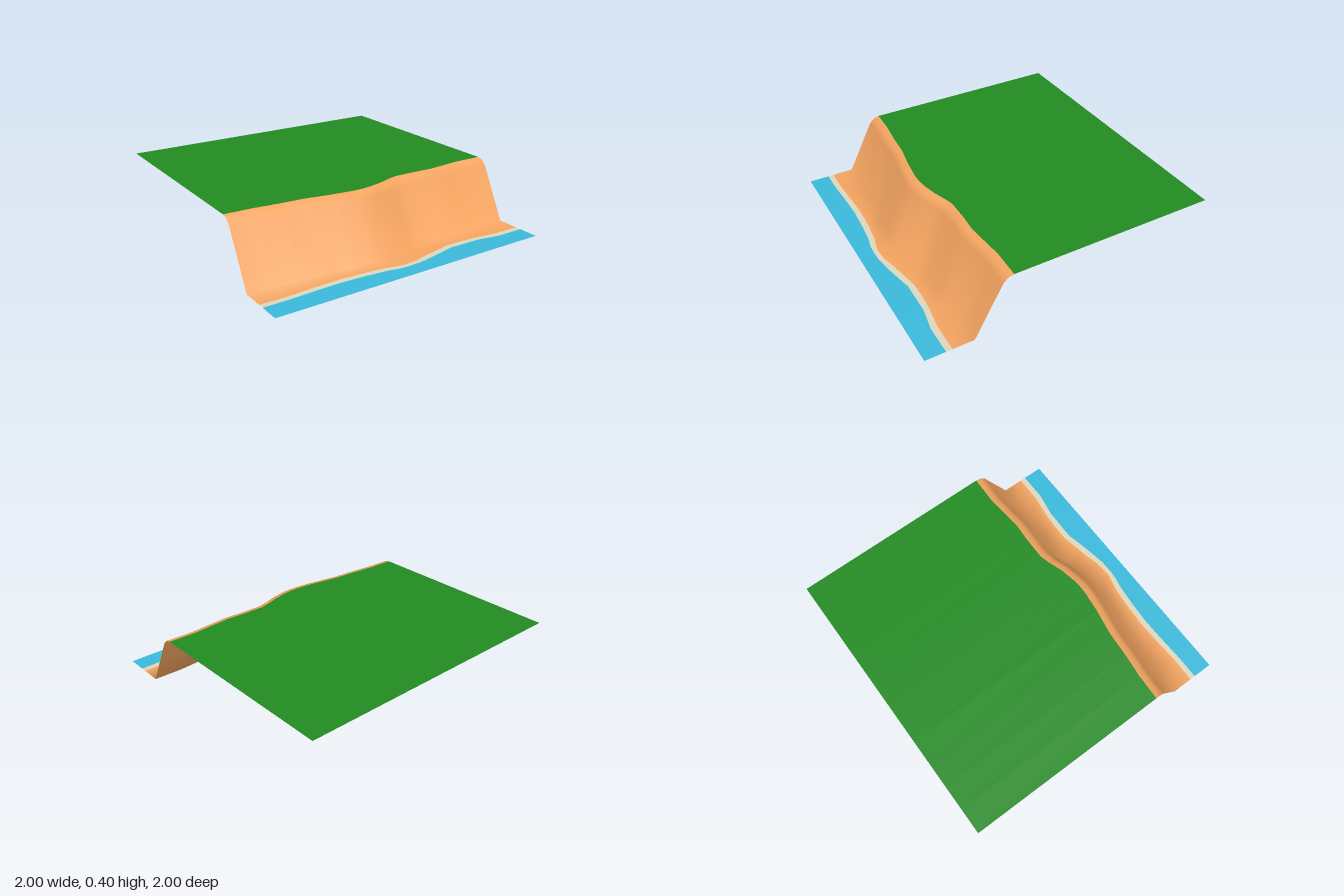
import * as THREE from 'three';

// Stations across the coast: x, cliff-top z, inner foam z, outer foam z
const STATIONS = [
  [-1, 0.415, 0.822, 0.862],
  [-0.82, 0.422, 0.825, 0.862],
  [-0.65, 0.441, 0.816, 0.854],
  [-0.48, 0.453, 0.81, 0.85],
  [-0.3, 0.485, 0.82, 0.86],
  [-0.15, 0.503, 0.835, 0.875],
  [-0.08, 0.504, 0.853, 0.89],
  [-0.02, 0.497, 0.865, 0.895],
  [0.08, 0.476, 0.858, 0.893],
  [0.18, 0.442, 0.833, 0.876],
  [0.25, 0.425, 0.82, 0.863],
  [0.4, 0.427, 0.79, 0.83],
  [0.53, 0.435, 0.79, 0.832],
  [0.63, 0.427, 0.797, 0.833],
  [0.8, 0.411, 0.82, 0.862],
  [1, 0.417, 0.822, 0.862],
];
const TOP = 0.4;

// Smooth sheet lofted through one cross-section [z, y] list per station, back to front
function sheet(name, color, section) {
  const positions = [], indices = [];
  let rows = 0;
  for (const [x, ...zs] of STATIONS) {
    const points = section(...zs);
    rows = points.length;
    for (const [z, y] of points) positions.push(x, y, z);
  }
  for (let i = 0; i < STATIONS.length - 1; i++) {
    for (let j = 0; j < rows - 1; j++) {
      const a = i * rows + j, b = a + rows;
      indices.push(a, a + 1, b + 1, a, b + 1, b);
    }
  }
  const geometry = new THREE.BufferGeometry();
  geometry.setAttribute('position', new THREE.Float32BufferAttribute(positions, 3));
  geometry.setIndex(indices);
  geometry.computeVertexNormals();
  const mesh = new THREE.Mesh(geometry, new THREE.MeshStandardMaterial({ color, side: THREE.DoubleSide }));
  mesh.name = name;
  return mesh;
}

export function createModel() {
  const group = new THREE.Group();
  group.name = 'coastalCliff';

  // Flat grass plateau behind the cliff edge
  group.add(sheet('grassPlateau', 0x228b22, (edge) => [[-1, TOP], [edge, TOP]]));

  // Rounded brow, sloping face and flat beach in one smooth surface
  group.add(sheet('cliffAndBeach', 0xf4a460, (edge, shore) => [
    [edge, TOP],
    [edge + 0.038, 0.391],
    [edge + 0.072, 0.357],
    [0.745 - (0.504 - edge) * 0.8, 0],
    [shore, 0],
  ]));

  // Pale surf line, then the sea
  group.add(sheet('foam', 0xdcd7bd, (edge, shore, surf) => [[shore, 0], [surf, 0]]));
  group.add(sheet('water', 0x3bb9db, (edge, shore, surf) => [[surf, 0], [1, 0]]));

  return group;
}
